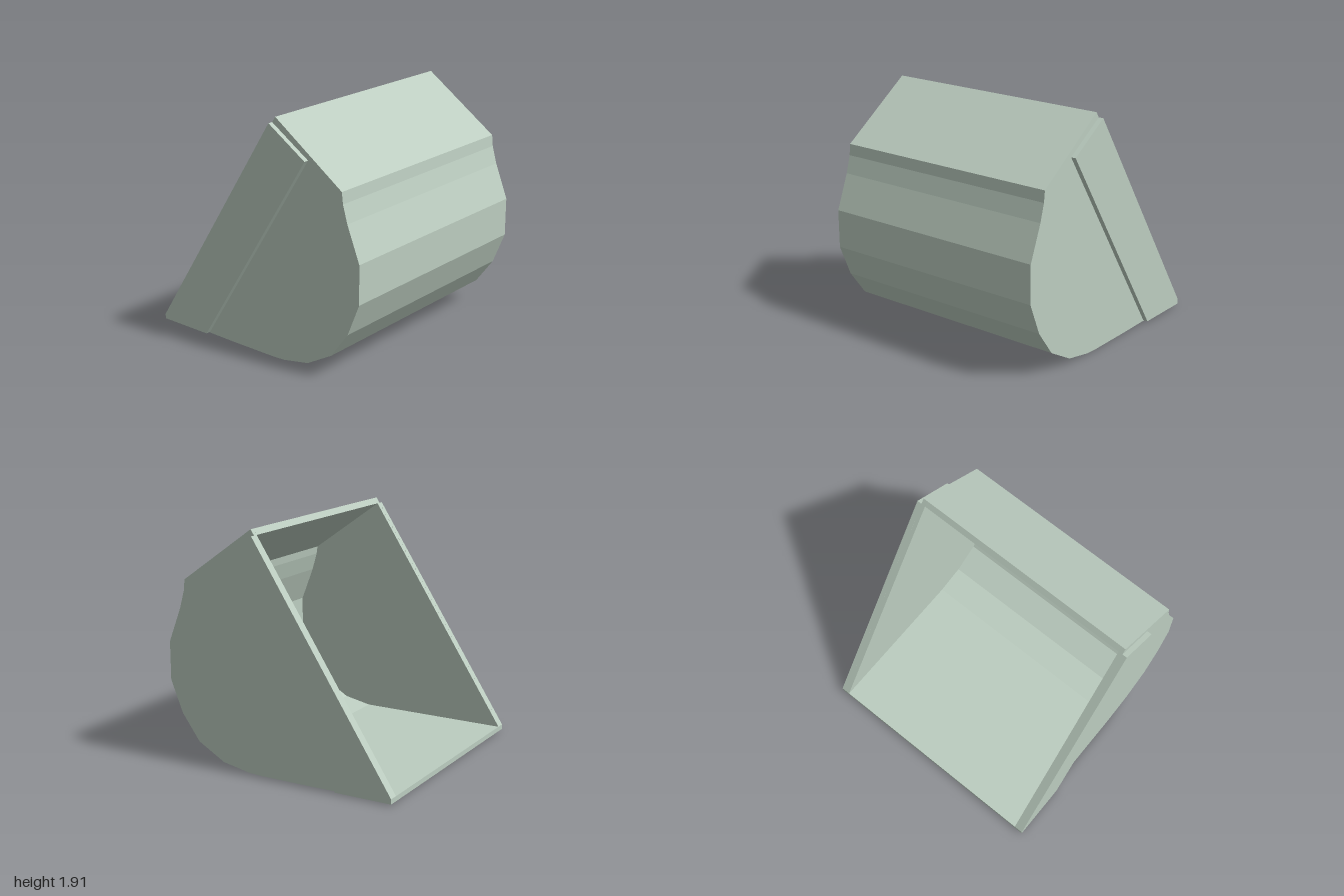
import * as THREE from 'three';

// Curved back and floor, running from the top edge round to the lip
const outer = [
  [0.21, 1.91], [0.83, 1.47], [0.84, 1.38], [0.88, 1.24], [0.99, 0.96], [0.99, 0.65],
  [0.885, 0.39], [0.73, 0.18], [0.5, 0.05], [0.26, 0.005], [0.15, 0], [-0.28, 0], [-1, 0.01],
];
// Inside face of the same plate, running from the lip back to the top edge
const inner = [
  [-1, 0.05], [0.255, 0.05], [0.485, 0.095], [0.7, 0.22], [0.84, 0.41], [0.945, 0.66],
  [0.945, 0.95], [0.837, 1.225], [0.795, 1.37], [0.785, 1.435], [0.18, 1.865],
];
// Reinforcing strip along the mouth
const strip = [[-1, 0.01], [-0.53, 0.01], [0.52, 1.64], [0.18, 1.865], [-1, 0.05]];

export function createModel() {
  const group = new THREE.Group();
  const material = new THREE.MeshStandardMaterial({ color: 0xbccdc0, flatShading: true });

  // Flat plate cut to a profile and extruded between two z positions
  function plate(name, points, z0, z1) {
    const shape = new THREE.Shape(points.map(([x, y]) => new THREE.Vector2(x, y)));
    const geometry = new THREE.ExtrudeGeometry(shape, { depth: z1 - z0, bevelEnabled: false });
    geometry.translate(0, 0, z0);
    const mesh = new THREE.Mesh(geometry, material);
    mesh.name = name;
    group.add(mesh);
  }

  plate('bucketShell', [...outer, ...inner], -0.925, 0.925);

  // Side walls and the strips on their outer faces
  const wall = [...outer, [-1, 0.05]];
  plate('leftSideWall', wall, 0.925, 0.96);
  plate('rightSideWall', wall, -0.96, -0.925);
  plate('leftEdgeStrip', strip, 0.96, 1);
  plate('rightEdgeStrip', strip, -1, -0.96);

  group.name = 'bucket';
  return group;
}
